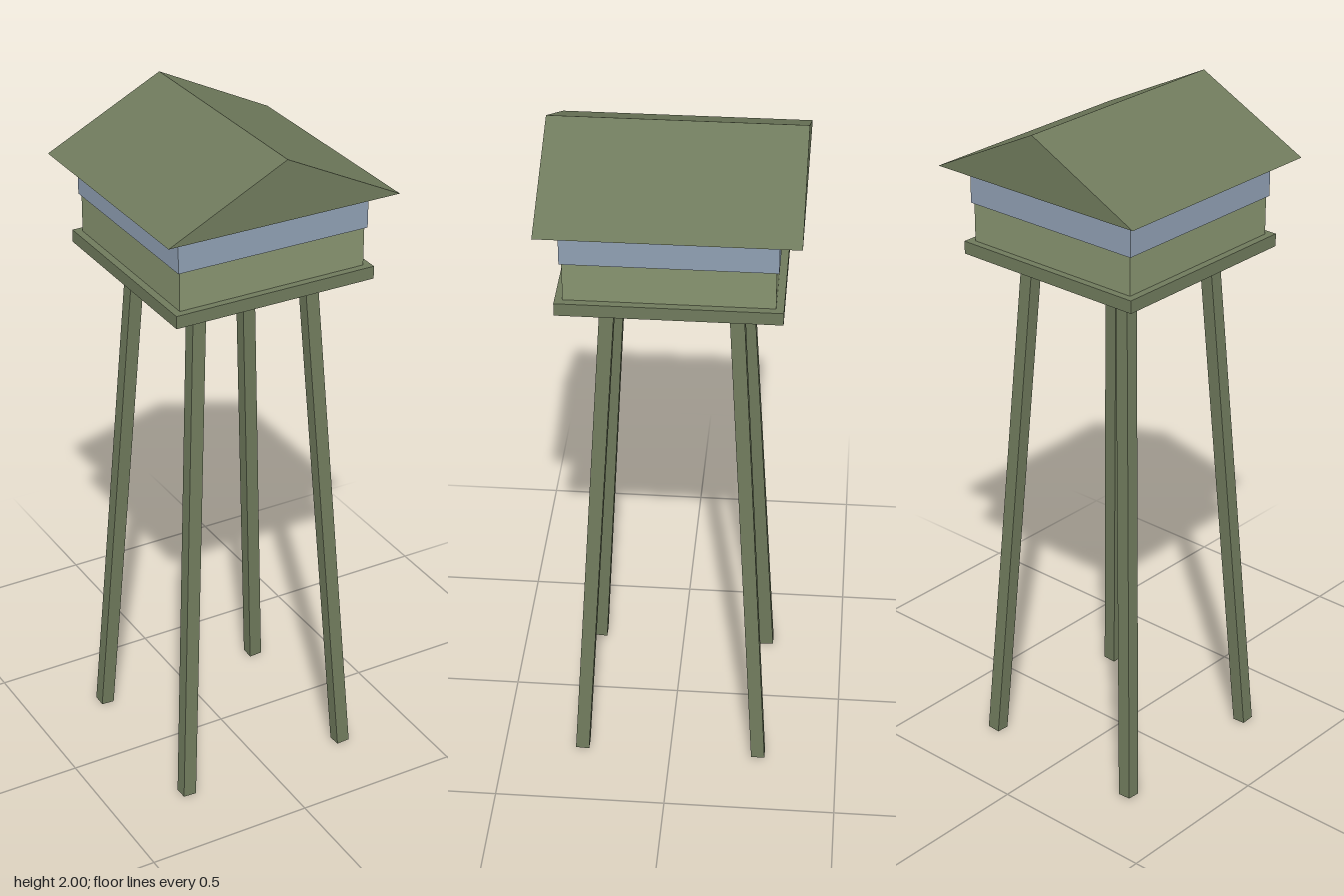
import * as THREE from 'three';

const paint = (color) => new THREE.MeshStandardMaterial({ color });

export function createModel() {
  const tower = new THREE.Group();
  tower.name = 'watchtower';
  const timber = paint(0x6f7a5c);
  const wall = paint(0x87936f);
  const glass = paint(0x8f9fb2);

  const add = (name, geometry, material) => {
    const mesh = new THREE.Mesh(geometry, material);
    mesh.name = name;
    tower.add(mesh);
    return mesh;
  };

  // Square slab between two heights
  const slab = (name, width, bottom, top, material) => {
    const mesh = add(name, new THREE.BoxGeometry(width, top - bottom, width), material);
    mesh.position.y = (bottom + top) / 2;
  };

  // Four legs leaning inward toward the platform
  const up = new THREE.Vector3(0, 1, 0);
  for (const [sx, side] of [[1, 'Left'], [-1, 'Right']]) {
    for (const [sz, end] of [[1, 'front'], [-1, 'back']]) {
      const foot = new THREE.Vector3(0.265 * sx, 0.0024, 0.265 * sz);
      const head = new THREE.Vector3(0.173 * sx, 1.575, 0.173 * sz);
      const axis = head.clone().sub(foot);
      const leg = add(end + side + 'Leg', new THREE.BoxGeometry(0.04, axis.length(), 0.04), timber);
      leg.position.copy(foot).add(head).multiplyScalar(0.5);
      leg.quaternion.setFromUnitVectors(up, axis.normalize());
    }
  }

  // Platform, cabin and window band
  slab('platform', 0.61, 1.567, 1.604, timber);
  slab('cabin', 0.567, 1.604, 1.828, wall);
  slab('windowBand', 0.58, 1.717, 1.807, glass);

  // Gabled roof with its ridge running front to back
  const gable = new THREE.Shape([
    new THREE.Vector2(-0.35, 1.827),
    new THREE.Vector2(0.35, 1.827),
    new THREE.Vector2(0, 2),
  ]);
  const roof = new THREE.ExtrudeGeometry(gable, { depth: 0.7, bevelEnabled: false });
  add('roof', roof.translate(0, 0, -0.35), timber);

  return tower;
}
